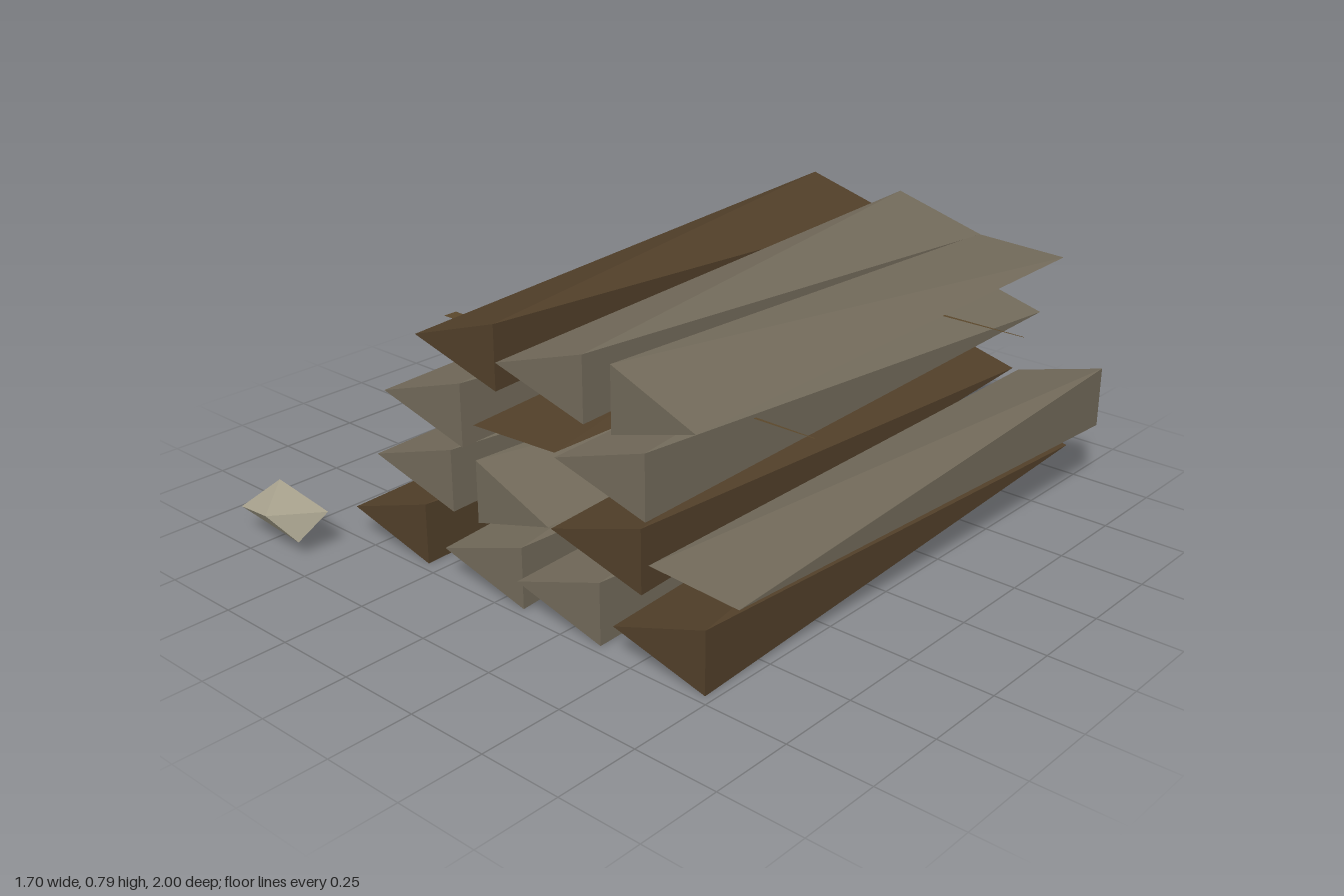
import * as THREE from 'three';
import { ConvexGeometry } from 'three/addons/geometries/ConvexGeometry.js';

function material(name, color, extra = {}) {
  const m = new THREE.MeshStandardMaterial({ color, flatShading: true, ...extra });
  m.name = name;
  return m;
}

const hull = (points) => new ConvexGeometry(points.map((p) => new THREE.Vector3(...p)));

export function createModel() {
  const group = new THREE.Group();
  const grey = material('weathered grey wood', 0x726a5a);
  const brown = material('dark brown wood', 0x513f29);
  const stone = material('pale stone', 0xaaa48f);
  const strap = material('binding brown', 0x5a472c, { side: THREE.DoubleSide });

  function add(name, geometry, mat) {
    const mesh = new THREE.Mesh(geometry, mat);
    mesh.name = name;
    group.add(mesh);
  }

  // Triangular end of a log: one tip at mid height and one upright edge,
  // which shrinks to a point on logs hewn flat at that end
  function logEnd(y, half, tipX, edgeX, tipZ, edgeZ, flat) {
    const tip = [tipX, y, tipZ];
    if (flat) return [tip, [edgeX, y, edgeZ]];
    return [tip, [edgeX, y + half, edgeZ], [edgeX, y - half, edgeZ]];
  }

  // Rows of logs, bottom first:
  // [material, front tip x, front edge x, back edge x, back tip x, flat end]
  const rows = [
    { y: 0.1, logs: [
      [brown, -0.585, -0.3, -0.51, -0.23],
      [grey, -0.2, 0.085, -0.24, 0.045],
      [grey, 0.085, 0.37, 0.13, 0.415],
      [brown, 0.435, 0.725, 0.435, 0.72],
    ] },
    { y: 0.302, logs: [
      [grey, -0.47, -0.18, -0.4, -0.115],
      [grey, 0.21, -0.08, 0.165, -0.125, 'back'],
      [brown, 0.22, 0.515, 0.215, 0.51],
      [grey, 0.845, 0.54, 0.83, 0.53, 'front'],
    ] },
    { y: 0.508, logs: [
      [grey, -0.42, -0.13, -0.35, -0.06],
      [brown, -0.06, 0.22, -0.055, 0.25, 'front'],
      [grey, 0.24, 0.53, 0.3, 0.59],
    ] },
    { y: 0.708, logs: [
      [brown, -0.275, 0.01, -0.265, 0.02],
      [grey, 0.035, 0.325, 0.075, 0.36],
      [grey, 0.71, 0.42, 0.67, 0.355, 'back'],
    ] },
  ];
  rows.forEach(({ y, logs }, r) => logs.forEach(([mat, ft, fe, be, bt, flat], i) => {
    add(`log row ${r + 1} number ${i + 1}`, hull([
      ...logEnd(y, 0.092, ft, fe, 0.742, 0.722, flat === 'front'),
      ...logEnd(y, 0.092, bt, be, -0.995, -0.965, flat === 'back'),
    ]), mat);
  }));

  // Two thin binding strips laid across the third row, tapering to the right
  for (const [z, y, endX] of [[0.325, 0.568, 0.735], [-0.585, 0.588, 0.775]]) {
    const shape = new THREE.Shape([
      new THREE.Vector2(-0.62, -0.023),
      new THREE.Vector2(endX, -0.002),
      new THREE.Vector2(endX, 0.002),
      new THREE.Vector2(-0.62, 0.023),
    ]);
    const plate = new THREE.ShapeGeometry(shape);
    plate.rotateX(-Math.PI / 2);
    plate.translate(0, y, z);
    add('binding strip', plate, strap);
  }

  // Loose angular stone beside the pile
  add('stone', hull([
    [-0.85, 0.09, 0.95], [-0.81, 0.15, 0.84], [-0.735, 0.065, 0.78],
    [-0.56, 0.135, 0.86], [-0.66, 0.14, 1.0], [-0.6, 0.055, 0.94],
  ]), stone);

  return group;
}
